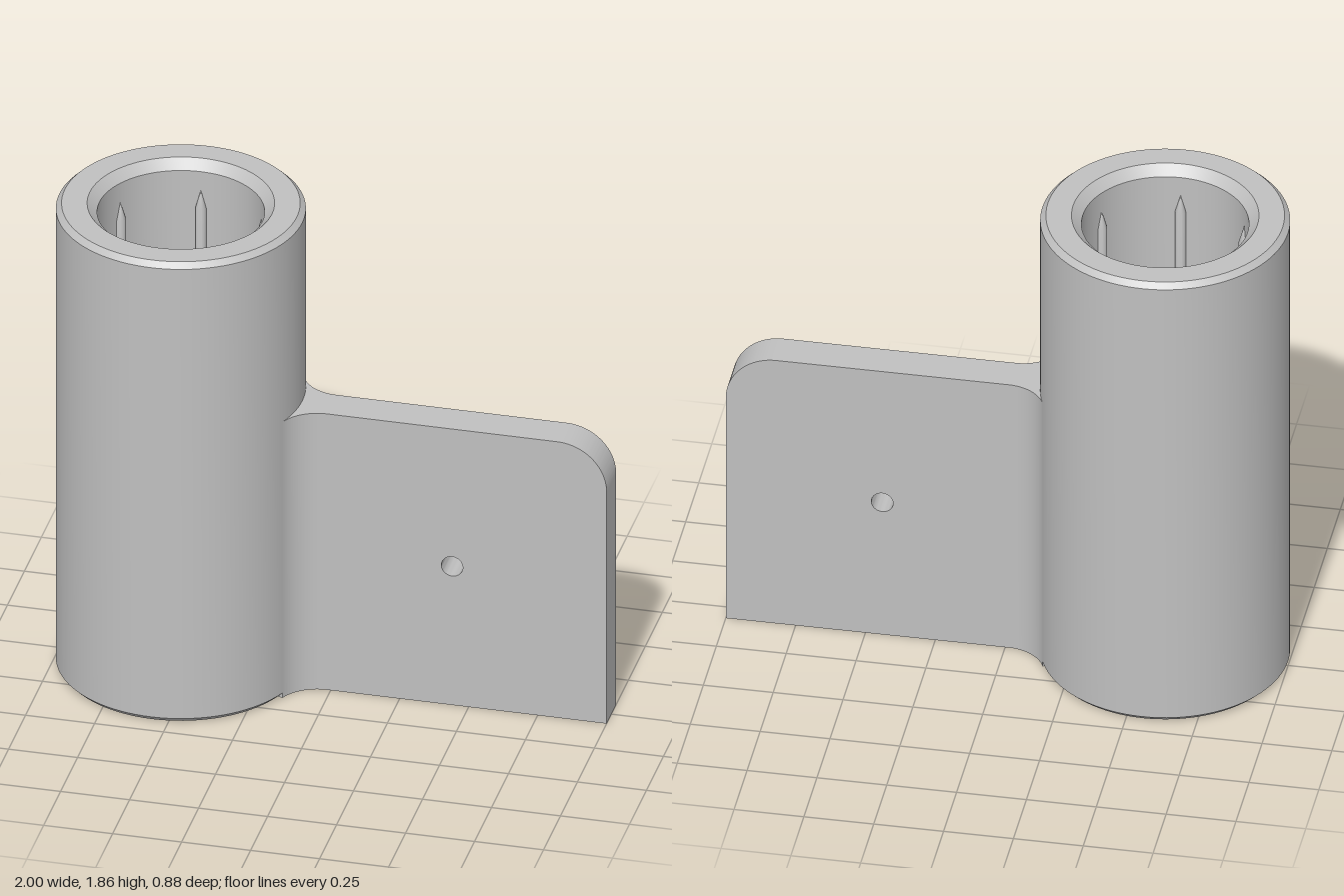
import * as THREE from 'three';
import { toCreasedNormals } from 'three/addons/utils/BufferGeometryUtils.js';

const TUBE_X = -0.56, OUTER = 0.44, BORE = 0.295, HEIGHT = 1.855;
const PLATE_H = 1.115, HALF_T = 0.07, FILLET = 0.15;

export function createModel() {
  const model = new THREE.Group();
  model.name = 'tubeBracket';
  const grey = new THREE.MeshStandardMaterial({ color: 0xc0c0c0 });
  grey.name = 'grey';

  const add = (name, geometry, parent = model) => {
    const mesh = new THREE.Mesh(toCreasedNormals(geometry, 0.5), grey);
    mesh.name = name;
    parent.add(mesh);
    return mesh;
  };

  // Hollow tube with chamfered outer and inner rims
  const c = 0.02, d = 0.035;
  const profile = [
    [BORE + d, 0], [OUTER - c, 0], [OUTER, c], [OUTER, HEIGHT - c], [OUTER - c, HEIGHT],
    [BORE + d, HEIGHT], [BORE, HEIGHT - d], [BORE, d], [BORE + d, 0],
  ].map(([r, y]) => new THREE.Vector2(r, y));
  add('tube', new THREE.LatheGeometry(profile, 96)).position.x = TUBE_X;

  // Six slim grip ribs with pointed ends inside the bore
  const ribs = new THREE.Group();
  ribs.name = 'gripRibs';
  ribs.position.x = TUBE_X;
  model.add(ribs);
  const low = 0.11, high = HEIGHT - 0.11, tip = 0.07, r = 0.02;
  const ribProfile = [[0, low], [r, low + tip], [r, high - tip], [0, high]]
    .map(([x, y]) => new THREE.Vector2(x, y));
  for (let i = 0; i < 6; i++) {
    const a = Math.PI / 6 + i * Math.PI / 3;
    add('gripRib', new THREE.LatheGeometry(ribProfile, 16), ribs)
      .position.set(Math.cos(a) * BORE, 0, Math.sin(a) * BORE);
  }

  // Fillet centre: tangent to both the tube wall and the plate face
  const fz = HALF_T + FILLET;
  const fx = TUBE_X + Math.sqrt((OUTER + FILLET) ** 2 - fz ** 2);
  const a = Math.atan2(fz, fx - TUBE_X);

  // Flat plate with one rounded corner and a screw hole
  const R = 0.18;
  const plate = new THREE.Shape();
  plate.moveTo(fx, 0);
  plate.lineTo(1, 0);
  plate.lineTo(1, PLATE_H - R);
  plate.absarc(1 - R, PLATE_H - R, R, 0, Math.PI / 2, false);
  plate.lineTo(fx, PLATE_H);
  plate.closePath();
  const hole = new THREE.Path();
  hole.absarc(0.44, 0.56, 0.039, 0, Math.PI * 2, true);
  plate.holes.push(hole);
  const plateGeo = new THREE.ExtrudeGeometry(plate, { depth: HALF_T * 2, bevelEnabled: false, curveSegments: 24 });
  plateGeo.translate(0, 0, -HALF_T);
  add('plate', plateGeo);

  // Flared root blending the plate into the tube
  const inner = OUTER - 0.06;
  const root = new THREE.Shape();
  root.moveTo(TUBE_X + inner * Math.cos(a), -inner * Math.sin(a));
  root.lineTo(TUBE_X + OUTER * Math.cos(a), -OUTER * Math.sin(a));
  root.absarc(fx, -fz, FILLET, Math.PI - a, Math.PI / 2, true);
  root.lineTo(fx, HALF_T);
  root.absarc(fx, fz, FILLET, -Math.PI / 2, -Math.PI + a, true);
  root.lineTo(TUBE_X + inner * Math.cos(a), inner * Math.sin(a));
  root.closePath();
  const rootGeo = new THREE.ExtrudeGeometry(root, { depth: PLATE_H, bevelEnabled: false, curveSegments: 20 });
  rootGeo.rotateX(-Math.PI / 2);
  add('filletRoot', rootGeo);

  return model;
}
